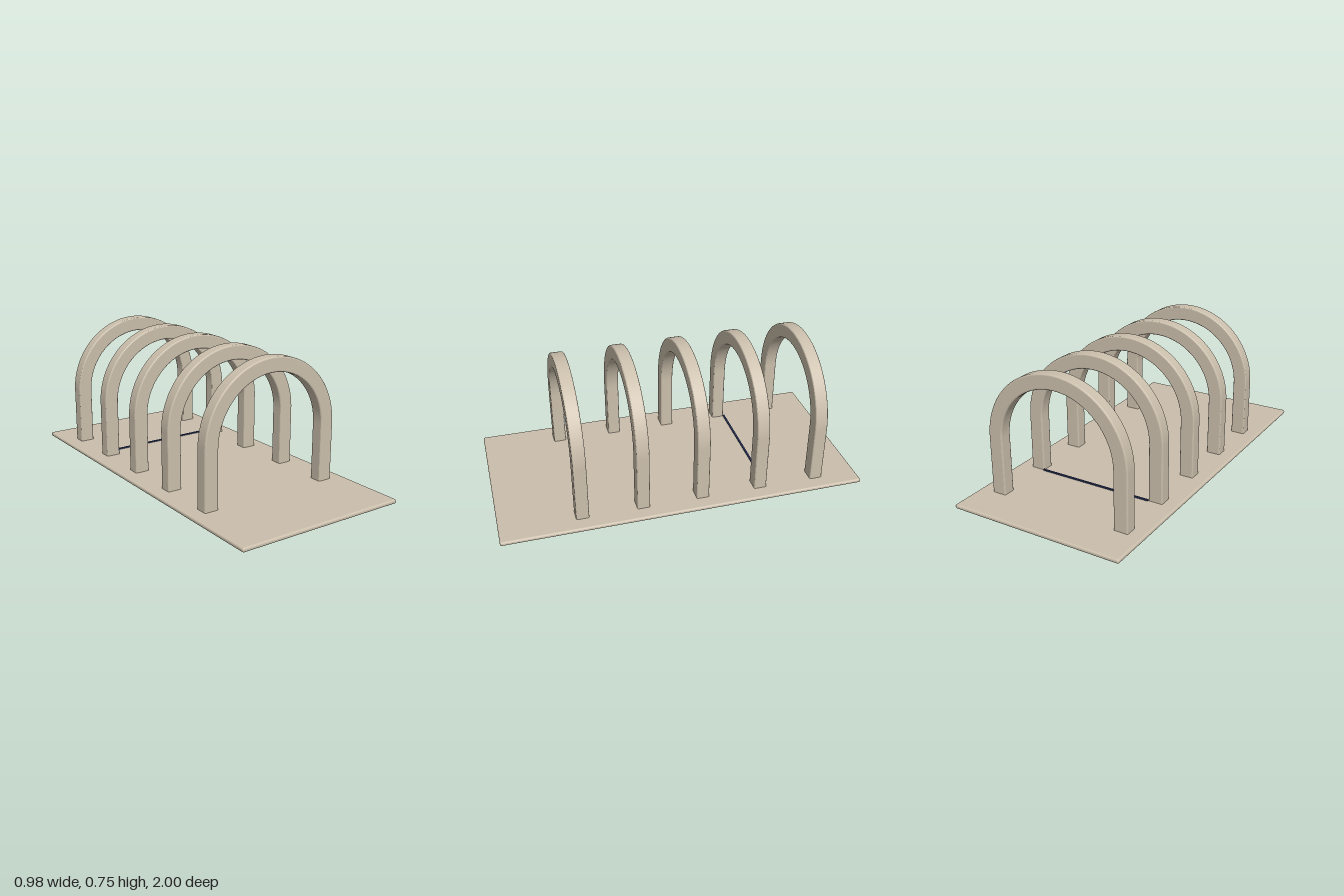
import * as THREE from 'three';
import { toCreasedNormals } from 'three/addons/utils/BufferGeometryUtils.js';
import { RoundedBoxGeometry } from 'three/addons/geometries/RoundedBoxGeometry.js';

const OUTER = 0.41, INNER = 0.33, SPRING = 0.337, DEPTH = 0.07, BEVEL = 0.008;

// Upside-down U outline: two straight legs joined by a half ring
function archGeometry() {
  const foot = 0.004;
  const shape = new THREE.Shape();
  shape.moveTo(OUTER, foot);
  shape.lineTo(OUTER, SPRING);
  shape.absarc(0, SPRING, OUTER, 0, Math.PI, false);
  shape.lineTo(-OUTER, foot);
  shape.lineTo(-INNER, foot);
  shape.lineTo(-INNER, SPRING);
  shape.absarc(0, SPRING, INNER, Math.PI, 0, true);
  shape.lineTo(INNER, foot);
  shape.closePath();
  const geometry = new THREE.ExtrudeGeometry(shape, {
    depth: DEPTH - 2 * BEVEL,
    curveSegments: 48,
    bevelEnabled: true,
    bevelSize: BEVEL,
    bevelThickness: BEVEL,
    bevelOffset: -BEVEL,
    bevelSegments: 4,
  });
  geometry.translate(0, 0, BEVEL - DEPTH / 2);
  return toCreasedNormals(geometry, 0.15);
}

export function createModel() {
  const model = new THREE.Group();
  model.name = 'archRack';

  const beige = new THREE.MeshStandardMaterial({ color: 0xcbbfac });
  beige.name = 'beige';
  const navy = new THREE.MeshStandardMaterial({ color: 0x2a3560 });
  navy.name = 'navy';

  // Thin base plate with rounded edges
  const base = new THREE.Mesh(new RoundedBoxGeometry(0.976, 0.023, 2, 4, 0.01), beige);
  base.name = 'basePlate';
  base.position.y = 0.0115;
  model.add(base);

  // Five evenly spaced arches
  const geometry = archGeometry();
  for (let i = 0; i < 5; i++) {
    const arch = new THREE.Mesh(geometry, beige);
    arch.name = `arch${i + 1}`;
    arch.position.z = 0.56 - i * 0.33;
    model.add(arch);
  }

  // Narrow strip on the floor behind the fourth arch
  const strip = new THREE.Mesh(new THREE.BoxGeometry(0.66, 0.009, 0.01), navy);
  strip.name = 'floorStrip';
  strip.position.set(0, 0.0255, -0.468);
  model.add(strip);

  return model;
}
